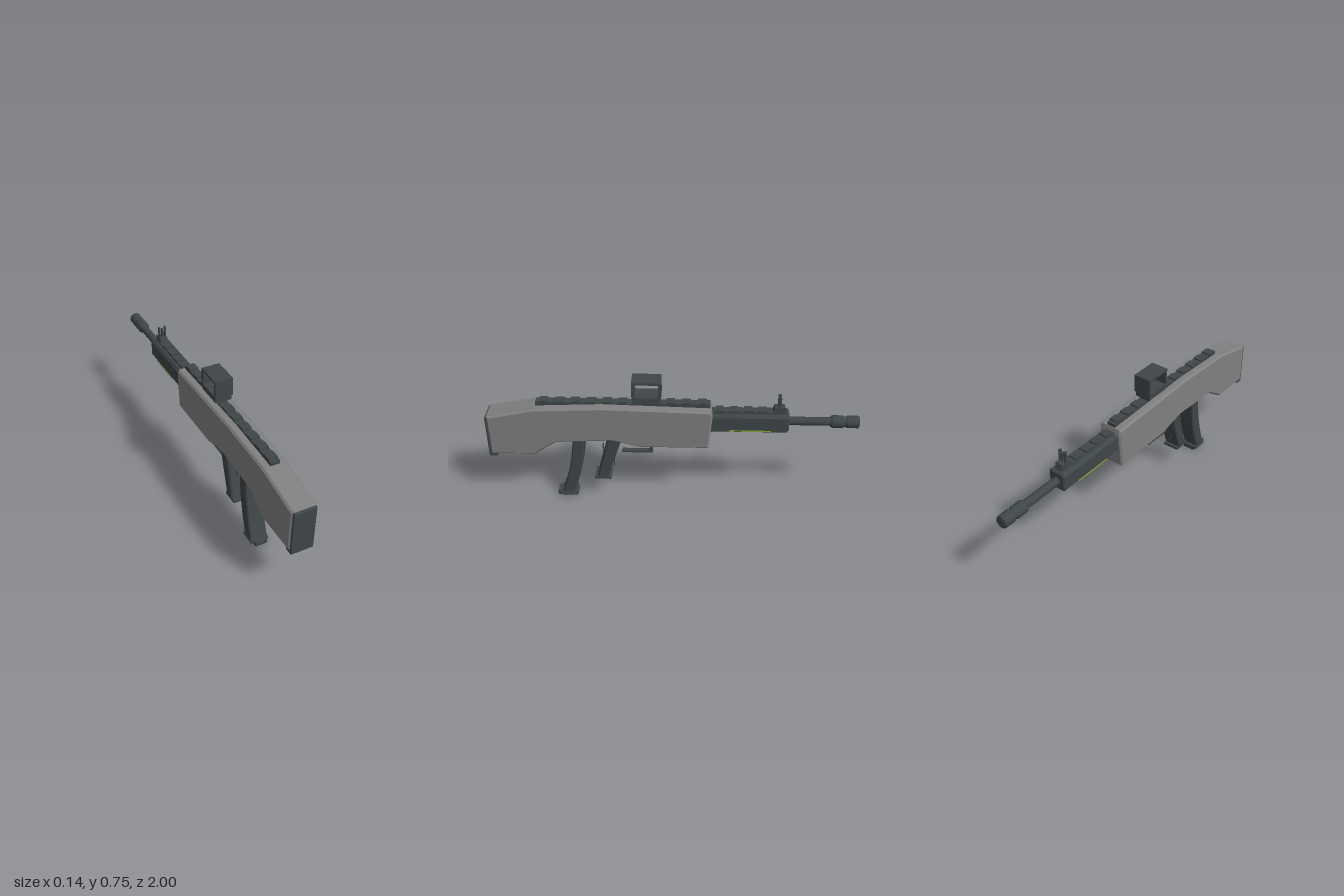
import * as THREE from 'three';

export function createModel() {
  const root = new THREE.Group();
  root.name = 'bullpupRifle';
  const mat = (name, color, extra = {}) => {
    const m = new THREE.MeshStandardMaterial({ color, ...extra });
    m.name = name;
    return m;
  };
  const grey = mat('bodyGrey', 0x808080);
  const dark = mat('gunmetal', 0x3f4648);
  const green = mat('greenMark', 0x8aa83a, { side: THREE.DoubleSide });

  const add = (name, geo, material = dark, parent = root) => {
    const m = new THREE.Mesh(geo, material);
    m.name = name;
    parent.add(m);
    return m;
  };
  // box given by half width and y / z ranges
  const box = (name, hw, y0, y1, z0, z1, x = 0) => {
    const m = add(name, new THREE.BoxGeometry(hw * 2, y1 - y0, z1 - z0));
    m.position.set(x, (y0 + y1) / 2, (z0 + z1) / 2);
    return m;
  };
  // side profile of [z, y] points, extruded across x with a chamfer
  const profile = (name, pts, hw, bevel, material = dark, hole = null) => {
    const toV = (a) => a.map(([z, y]) => new THREE.Vector2(z, y));
    const s = new THREE.Shape(toV(pts));
    if (hole) s.holes.push(new THREE.Path(toV(hole)));
    const g = new THREE.ExtrudeGeometry(s, {
      depth: 2 * (hw - bevel), bevelEnabled: bevel > 0, bevelThickness: bevel,
      bevelSize: bevel, bevelOffset: -bevel, bevelSegments: 1, curveSegments: 8,
    });
    g.translate(0, 0, -(hw - bevel));
    g.rotateY(-Math.PI / 2);
    return add(name, g, material);
  };

  // main body shell
  profile('body', [
    [0.99, 0.302], [0.99, 0.54], [0.73, 0.594], [0.38, 0.609], [-0.21, 0.594],
    [-0.217, 0.56], [-0.2, 0.36], [0.17, 0.36], [0.32, 0.398], [0.63, 0.382], [0.75, 0.302],
  ].reverse(), 0.068, 0.01, grey);

  // butt plate with its toe
  profile('buttPlate', [
    [1, 0.285], [1, 0.53], [0.995, 0.536], [0.975, 0.536], [0.975, 0.302],
    [0.955, 0.302], [0.955, 0.289], [0.96, 0.285],
  ], 0.06, 0);

  // handguard with green side marks
  const guard = new THREE.Shape();
  guard.moveTo(-0.05, 0.468);
  [[-0.037, 0.455], [0.037, 0.455], [0.05, 0.468], [0.05, 0.548], [0.037, 0.563], [-0.037, 0.563], [-0.05, 0.548]]
    .forEach(([x, y]) => guard.lineTo(x, y));
  const guardGeo = new THREE.ExtrudeGeometry(guard, {
    depth: 0.46, bevelThickness: 0.008, bevelSize: 0.008, bevelOffset: -0.008, bevelSegments: 1,
  });
  add('handguard', guardGeo).position.z = -0.617;
  for (const side of [-1, 1]) {
    const g = new THREE.PlaneGeometry(0.22, 0.009).rotateY(Math.PI / 2);
    add('sideMark', g, green).position.set(side * 0.057, 0.474, -0.42);
  }

  // accessory rails with cross ridges
  const rail = (name, yBase, yTop, z0, z1, n) => {
    box(name, 0.025, yBase, yTop, z0, z1);
    const pitch = (z1 - z0) / n;
    for (let i = 0; i < n; i++) {
      const z = z0 + (i + 0.5) * pitch;
      box(name + 'Ridge', 0.025, yTop, yTop + 0.008, z - pitch * 0.28, z + pitch * 0.28);
    }
  };
  rail('topRail', 0.585, 0.614, -0.205, 0.725, 11);
  rail('frontRail', 0.555, 0.572, -0.6, -0.215, 5);

  // optic: open sideways frame on a mount
  box('opticClamp', 0.027, 0.608, 0.628, 0.075, 0.19);
  box('opticBase', 0.045, 0.625, 0.657, 0.06, 0.205);
  profile('opticFrame',
    [[0.055, 0.653], [0.21, 0.653], [0.21, 0.755], [0.055, 0.755]], 0.05, 0, dark,
    [[0.07, 0.665], [0.07, 0.742], [0.197, 0.742], [0.197, 0.665]]);

  // front sight
  profile('frontSightBase', [[-0.61, 0.56], [-0.535, 0.56], [-0.545, 0.598], [-0.6, 0.598]], 0.022, 0);
  for (const x of [-0.017, 0, 0.017])
    box('frontSightPost', 0.004, 0.59, x ? 0.66 : 0.65, -0.578, -0.562, x);

  // barrel and muzzle, turned about z
  const turned = [
    [0, 0.6], [0.023, 0.6], [0.023, 0.845], [0.031, 0.852], [0.034, 0.858], [0.034, 0.915],
    [0.028, 0.92], [0.028, 0.932], [0.034, 0.937], [0.034, 0.994], [0.03, 1], [0, 1],
  ].map(([r, d]) => new THREE.Vector2(r, d));
  const barrelGeo = new THREE.LatheGeometry(turned, 20).rotateX(-Math.PI / 2);
  add('barrel', barrelGeo).position.y = 0.507;

  // curved magazine and floor plate
  const rear = new THREE.QuadraticBezierCurve(
    new THREE.Vector2(0.538, 0.4), new THREE.Vector2(0.553, 0.2), new THREE.Vector2(0.622, 0.02)).getPoints(8);
  const front = new THREE.QuadraticBezierCurve(
    new THREE.Vector2(0.56, 0.01), new THREE.Vector2(0.482, 0.19), new THREE.Vector2(0.475, 0.4)).getPoints(8);
  profile('magazine', [...rear, ...front].map((p) => [p.x, p.y]).reverse(), 0.048, 0.006);
  profile('magazineFloor',
    [[0.54, 0.008], [0.63, 0.008], [0.63, 0.026], [0.54, 0.026]], 0.05, 0.004);
  box('magazineLip', 0.034, 0, 0.024, 0.535, 0.647);

  // pistol grip, foot and finger ridges
  profile('grip', [[0.355, 0.14], [0.415, 0.14], [0.345, 0.4], [0.27, 0.4]], 0.052, 0.008);
  box('gripFoot', 0.048, 0.128, 0.142, 0.338, 0.43);
  box('gripRearFin', 0.012, 0.2, 0.34, 0.377, 0.381);
  box('gripFrontFin', 0.012, 0.19, 0.3, 0.32, 0.324);

  // trigger and its guard
  profile('triggerGuard', [
    [0.275, 0.29], [0.275, 0.3], [0.128, 0.3], [0.114, 0.312], [0.114, 0.37],
    [0.104, 0.37], [0.104, 0.29],
  ], 0.014, 0);
  profile('trigger', [[0.175, 0.375], [0.158, 0.375], [0.15, 0.328], [0.156, 0.328]], 0.008, 0);

  return root;
}
